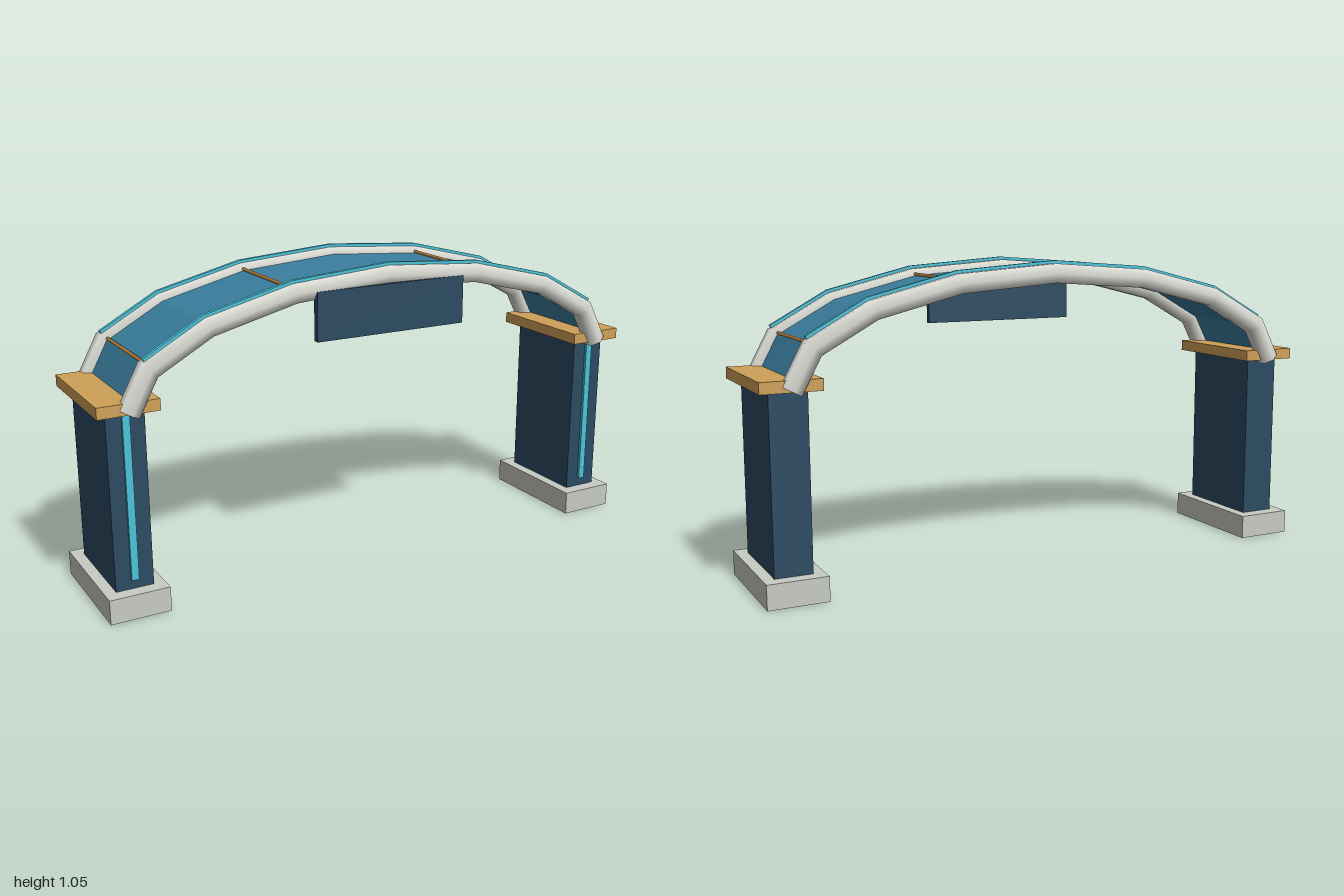
import * as THREE from 'three';
import { toCreasedNormals } from 'three/addons/utils/BufferGeometryUtils.js';

const mat = (color) => new THREE.MeshStandardMaterial({ color });
const NAVY = mat(0x2b4a62), STONE = mat(0xc8cbc3), WOOD = mat(0xcfa058);
const CYAN = mat(0x4cc3da), DECK = mat(0x3a7f9f), TUBE = mat(0xd9dad2), BRASS = mat(0xb98643);

// Half-ellipse in the xy plane, from +x over the top to -x
const archPath = [];
for (let i = 0; i <= 8; i++) {
  const a = (i * Math.PI) / 8;
  archPath.push(new THREE.Vector2(0.9 * Math.cos(a), 0.67 + 0.335 * Math.sin(a)));
}

// Sweeps a closed section of [z, outward] points along a path with mitred joints
function sweep(path, section, smoothAngle) {
  const normals = path.slice(1).map((p, i) => {
    const d = p.clone().sub(path[i]).normalize();
    return new THREE.Vector2(d.y, -d.x);
  });
  const rings = path.map((p, i) => {
    const a = normals[Math.max(i - 1, 0)], b = normals[Math.min(i, normals.length - 1)];
    const n = a.clone().add(b).normalize();
    n.divideScalar(n.dot(a));
    return section.map(([z, h]) => [p.x + n.x * h, p.y + n.y * h, z]);
  });
  const pos = [], count = section.length, end = rings[rings.length - 1];
  const tri = (...corners) => corners.forEach((c) => pos.push(...c));
  for (let i = 0; i < rings.length - 1; i++) {
    for (let j = 0; j < count; j++) {
      const k = (j + 1) % count;
      tri(rings[i][j], rings[i][k], rings[i + 1][k]);
      tri(rings[i][j], rings[i + 1][k], rings[i + 1][j]);
    }
  }
  for (let j = 1; j < count - 1; j++) {
    tri(rings[0][0], rings[0][j + 1], rings[0][j]);
    tri(end[0], end[j], end[j + 1]);
  }
  const g = new THREE.BufferGeometry();
  g.setAttribute('position', new THREE.Float32BufferAttribute(pos, 3));
  g.computeVertexNormals();
  return smoothAngle ? toCreasedNormals(g, smoothAngle) : g;
}

const rect = (z0, z1, h0, h1) => [[z0, h0], [z1, h0], [z1, h1], [z0, h1]];

export function createModel() {
  const model = new THREE.Group();
  const add = (name, geometry, material, x = 0, y = 0, z = 0, parent = model) => {
    const mesh = new THREE.Mesh(geometry, material);
    mesh.name = name;
    mesh.position.set(x, y, z);
    parent.add(mesh);
    return mesh;
  };
  const box = (w, h, d) => new THREE.BoxGeometry(w, h, d);

  // Supports: footing, pillar, cap and a light strip on the front face
  for (const [side, s] of [['left', 1], ['right', -1]]) {
    const support = new THREE.Group();
    support.name = side + 'Support';
    support.position.x = s * 0.9;
    model.add(support);
    add('footing', box(0.2, 0.083, 0.425), STONE, 0, 0.0415, 0, support);
    add('pillar', box(0.125, 0.585, 0.33), NAVY, 0, 0.375, 0, support);
    add('cap', box(0.2, 0.038, 0.415), WOOD, 0, 0.686, 0, support);
    add('pillarLight', box(0.024, 0.555, 0.014), CYAN, 0, 0.3925, 0.168, support);
  }

  // Curved deck between the two tubes
  add('deck', sweep(archPath, rect(-0.167, 0.167, 0.003, 0.009)), DECK);

  // Six-sided arch tubes with a light strip along the top
  for (const [side, z] of [['front', 0.2], ['back', -0.2]]) {
    const hexagon = [];
    for (let i = 0; i < 6; i++) {
      const a = (i * Math.PI) / 3;
      hexagon.push([z + 0.037 * Math.cos(a), 0.037 * Math.sin(a)]);
    }
    add(side + 'ArchTube', sweep(archPath, hexagon, 1.2), TUBE);
    add(side + 'ArchLight', sweep(archPath.slice(1, 8), rect(z, z + 0.014, 0.028, 0.042)), CYAN);
  }

  // Cross bars lying on the deck at the joints
  for (const i of [1, 3, 5, 7]) {
    const bar = add('crossBar', new THREE.CylinderGeometry(0.006, 0.006, 0.36, 8), BRASS,
      archPath[i].x, archPath[i].y + 0.013, 0);
    bar.rotation.x = Math.PI / 2;
  }

  // Hanging panel under the front tube
  add('hangingPanel', box(0.555, 0.163, 0.022), NAVY, 0, 0.899, 0.224);

  return model;
}
